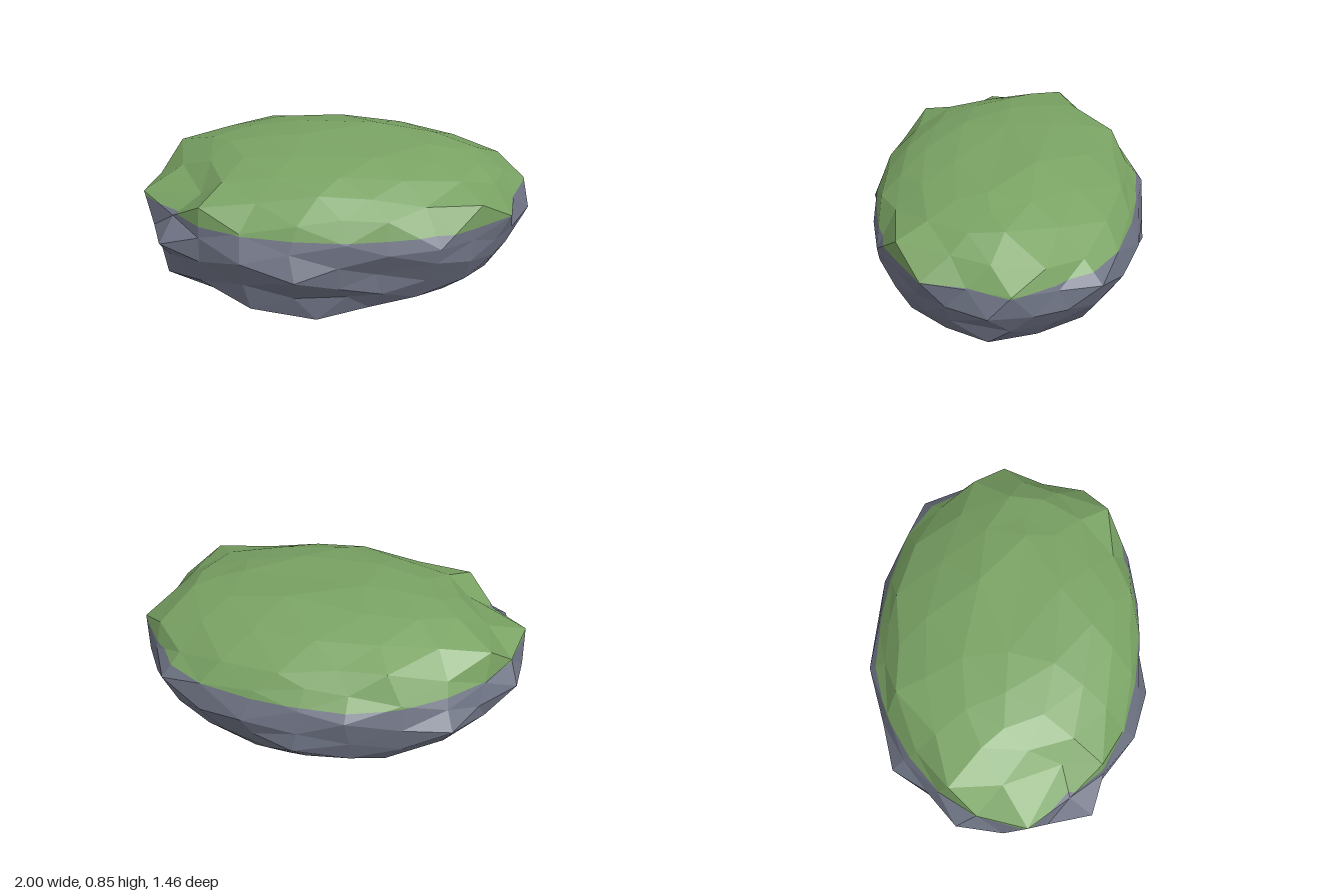
import * as THREE from 'three';
import { mergeVertices } from 'three/addons/utils/BufferGeometryUtils.js';

const MOSS_LINE = 0.56;
const CENTRE = new THREE.Vector3(0, 0.42, 0);
const RADII = new THREE.Vector3(1, 0.425, 0.73);

// Crags: points to which the boulder's corners are pulled
const CRAGS = [
  // left end
  [1, 0.45, 0.01], [0.98, 0.57, -0.1], [0.85, 0.65, -0.25], [0.85, 0.42, -0.36], [0.77, 0.51, -0.52],
  [0.88, 0.56, 0.34], [0.67, 0.38, 0.49], [0.87, 0.34, 0.2], [0.87, 0.22, 0.02], [0.8, 0.67, 0.2],
  [0.72, 0.68, 0.47],
  // right end
  [-1, 0.58, 0.15], [-0.99, 0.48, -0.21], [-0.97, 0.31, 0], [-0.88, 0.44, 0.47], [-0.87, 0.19, 0.3],
  [-0.85, 0.7, -0.25], [-0.67, 0.66, 0.5], [-0.68, 0.64, 0.3],
  // front
  [-0.42, 0.14, 0.58], [-0.46, 0.44, 0.67], [-0.19, 0.37, 0.73], [0.06, 0.55, 0.67], [0.26, 0.65, 0.61],
  [0.52, 0.5, 0.6], [0.2, 0.36, 0.6], [0.06, 0.23, 0.6], [-0.18, 0.63, 0.63], [-0.09, 0.1, 0.61],
  // back
  [0.06, 0.32, -0.73], [-0.2, 0.52, -0.72], [0.32, 0.45, -0.7], [0.55, 0.56, -0.59],
  [-0.47, 0.45, -0.63], [-0.71, 0.42, -0.56], [0.15, 0.69, -0.6], [-0.38, 0.72, -0.55],
  // underside
  [0.55, 0.12, 0.31], [-0.6, 0.09, 0.2], [-0.38, 0.18, -0.54], [0.3, 0.13, -0.51], [0.57, 0.17, -0.43],
  // crown
  [0.47, 0.82, 0.05], [0.2, 0.845, -0.17], [-0.18, 0.845, 0], [-0.66, 0.78, -0.1], [0.72, 0.76, -0.05],
  [-0.08, 0.74, 0.52],
];

function seeded(seed) {
  return () => {
    seed = (seed * 16807) % 2147483647;
    return seed / 2147483647;
  };
}

// Flattened, roughened sphere with a flat underside
function boulderGeometry() {
  let geo = new THREE.IcosahedronGeometry(1, 3);
  geo.deleteAttribute('normal');
  geo.deleteAttribute('uv');
  geo = mergeVertices(geo, 1e-3);
  const rand = seeded(71);
  const pos = geo.attributes.position;
  const points = [];
  for (let i = 0; i < pos.count; i++) {
    const p = new THREE.Vector3().fromBufferAttribute(pos, i);
    const r = Math.hypot(p.x, p.z);
    const swell = r > 1e-4 ? Math.pow(r, p.y > 0 ? 0.78 : 0.9) / r : 1;
    const rough = 0.93 + (rand() - 0.5) * 0.04;
    p.set(p.x * swell * rough, p.y, p.z * swell * rough).multiply(RADII).add(CENTRE);
    if (p.y < 0.035) p.y = 0;
    points.push(p);
  }

  // Match each crag to the corner lying most nearly in its direction
  const direction = (p) => p.clone().sub(CENTRE).divide(RADII).normalize();
  const free = new Set(points.keys());
  const directions = points.map(direction);
  const pulls = [];
  for (const c of CRAGS) {
    const target = new THREE.Vector3(...c), aim = direction(target);
    let best = -1, bestGap = 0.26;
    for (const i of free) {
      const gap = directions[i].distanceTo(aim);
      if (gap < bestGap) { bestGap = gap; best = i; }
    }
    if (best < 0) continue;
    pulls.push({ aim: directions[best], shift: target.clone().sub(points[best]) });
    points[best].copy(target);
    free.delete(best);
  }

  // Neighbouring corners follow part of the way
  for (const i of free) {
    const shift = new THREE.Vector3();
    let total = 0;
    for (const pull of pulls) {
      const w = Math.exp(-((directions[i].distanceTo(pull.aim) / 0.3) ** 2));
      shift.addScaledVector(pull.shift, w);
      total += w;
    }
    points[i].addScaledVector(shift, 0.6 / Math.max(1, total));
    points[i].y = THREE.MathUtils.clamp(points[i].y, 0, 0.845);
  }
  points.forEach((p, i) => pos.setXYZ(i, p.x, p.y, p.z));
  return geo;
}

// Keep the part of every face above (side = 1) or below (side = -1) the moss line
function clipFaces(geo, side) {
  const pos = geo.attributes.position, index = geo.index, out = [];
  const height = (p) => side * (p.y - MOSS_LINE);
  for (let f = 0; f < index.count; f += 3) {
    const tri = [0, 1, 2].map((k) => new THREE.Vector3().fromBufferAttribute(pos, index.getX(f + k)));
    const poly = [];
    tri.forEach((a, k) => {
      const b = tri[(k + 1) % 3], ha = height(a), hb = height(b);
      if (ha >= 0) poly.push(a);
      if (ha * hb < 0) poly.push(a.clone().lerp(b, ha / (ha - hb)));
    });
    for (let k = 1; k < poly.length - 1; k++) {
      for (const p of [poly[0], poly[k], poly[k + 1]]) out.push(p.x, p.y, p.z);
    }
  }
  const result = new THREE.BufferGeometry();
  result.setAttribute('position', new THREE.Float32BufferAttribute(out, 3));
  result.computeVertexNormals();
  return result;
}

export function createModel() {
  const group = new THREE.Group();
  group.name = 'mossyBoulder';
  const stone = new THREE.MeshStandardMaterial({ color: 0x6e7384, flatShading: true });
  stone.name = 'stone grey';
  const moss = new THREE.MeshStandardMaterial({ color: 0x7aa364, flatShading: true });
  moss.name = 'moss green';

  const boulder = boulderGeometry();
  const parts = [['stoneBody', -1, stone], ['mossCap', 1, moss]];
  for (const [name, side, material] of parts) {
    const mesh = new THREE.Mesh(clipFaces(boulder, side), material);
    mesh.name = name;
    group.add(mesh);
  }
  return group;
}
